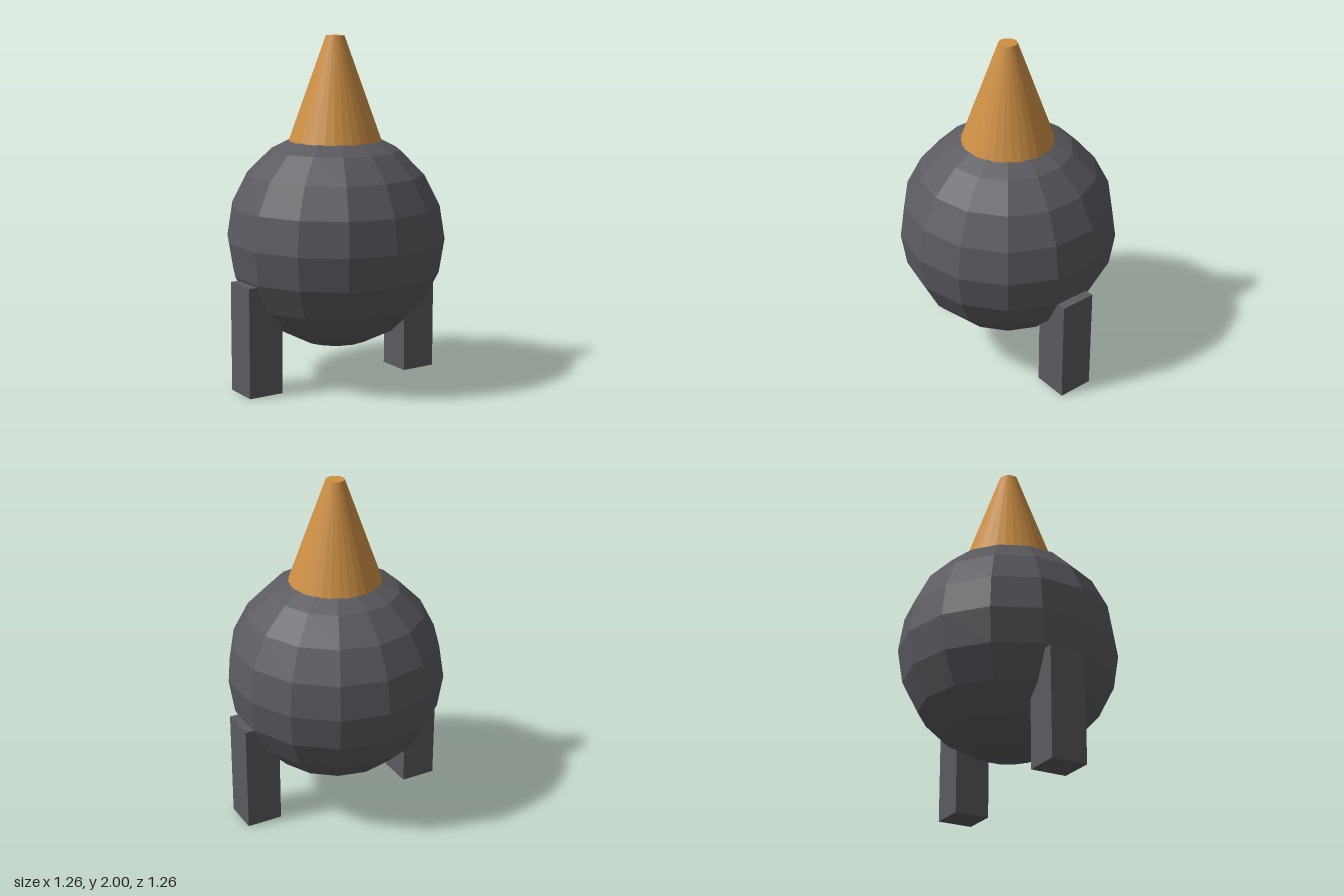
import * as THREE from 'three';

const U = 2 / 9.5; // base unit: the model is 9.5 units tall

export function createModel() {
  const group = new THREE.Group();
  const grey = new THREE.MeshStandardMaterial({ color: 0x5a5a60, flatShading: true });
  const orange = new THREE.MeshStandardMaterial({ color: 0xcd8f44, flatShading: true });

  const add = (name, geometry, material, x, y) => {
    const mesh = new THREE.Mesh(geometry, material);
    mesh.name = name;
    mesh.position.set(x * U, y * U, 0);
    group.add(mesh);
    return mesh;
  };

  // Faceted round body, with a corner of each ring facing front and back
  const body = add('body', new THREE.SphereGeometry(3 * U, 14, 10), grey, 0, 4);
  body.rotation.y = Math.PI / 2;

  // Truncated cone sunk into the top of the body
  add('beak', new THREE.CylinderGeometry(0.25 * U, 1.5 * U, 3.5 * U, 32), orange, 0, 7.75);

  // Block legs on both sides
  for (const [name, side] of [['leftLeg', 1], ['rightLeg', -1]]) {
    add(name, new THREE.BoxGeometry(U, 3 * U, U), grey, side * 2.5, 1.5);
  }

  return group;
}
